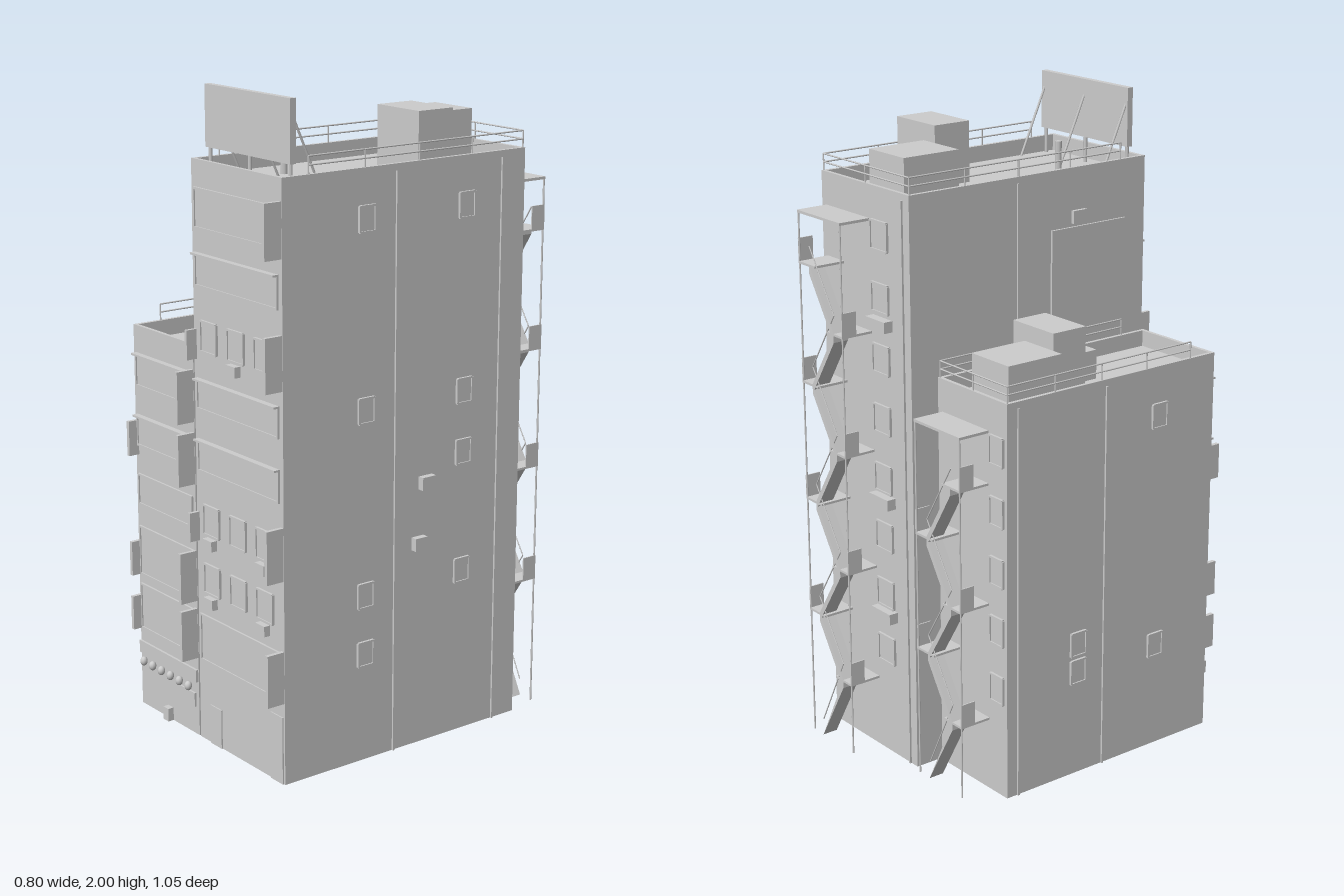
import * as THREE from 'three';

const concrete = new THREE.MeshStandardMaterial({ color: 0xcccccc, side: THREE.DoubleSide });
concrete.name = 'concrete grey';

// Box given by its minimum and maximum corners
function box(parent, name, x0, x1, y0, y1, z0, z1) {
  const m = new THREE.Mesh(new THREE.BoxGeometry(x1 - x0, y1 - y0, z1 - z0), concrete);
  m.position.set((x0 + x1) / 2, (y0 + y1) / 2, (z0 + z1) / 2);
  m.name = name;
  parent.add(m);
  return m;
}

// Round bar between two points
function bar(parent, name, a, b, r = 0.003) {
  const p = new THREE.Vector3(...a), q = new THREE.Vector3(...b);
  const m = new THREE.Mesh(new THREE.CylinderGeometry(r, r, p.distanceTo(q), 6), concrete);
  m.position.copy(p).lerp(q, 0.5);
  m.quaternion.setFromUnitVectors(new THREE.Vector3(0, 1, 0), q.sub(p).normalize());
  m.name = name;
  parent.add(m);
}

// Hollow shell, open below, with a sunken roof inside the parapet
function shell(parent, x0, x1, z0, z1, top) {
  const t = 0.012;
  box(parent, 'frontWall', x0, x1, 0, top, z1 - t, z1);
  box(parent, 'backWall', x0, x1, 0, top, z0, z0 + t);
  box(parent, 'leftWall', x1 - t, x1, 0, top, z0 + t, z1 - t);
  box(parent, 'rightWall', x0, x0 + t, 0, top, z0 + t, z1 - t);
  box(parent, 'roof', x0 + t, x1 - t, top - 0.06, top - 0.05, z0 + t, z1 - t);
}

// Two-bar railing along the sides and back of the roof
function railing(parent, x0, x1, z0, z1, y) {
  const path = [[x0, z1], [x0, z0], [x1, z0], [x1, z1]];
  for (let i = 0; i < 3; i++) {
    const [a, b] = path[i], [c, d] = path[i + 1];
    for (const h of [0.025, 0.05]) bar(parent, 'roofRail', [a, y + h, b], [c, y + h, d], 0.0025);
    const n = i === 1 ? 2 : 4;
    for (let k = 0; k <= n; k++) {
      const x = a + (c - a) * k / n, z = b + (d - b) * k / n;
      bar(parent, 'railPost', [x, y - 0.03, z], [x, y + 0.05, z], 0.0025);
    }
  }
}

// Framed front panel, with an optional thin ledge on top
function panel(parent, x0, x1, y0, y1, ledge) {
  const z = 0.47, w = 0.006;
  box(parent, 'frontPanel', x0, x1, y0, y1, z, z + 0.003);
  box(parent, 'panelFrame', x0, x1, y0, y0 + w, z, z + 0.007);
  box(parent, 'panelFrame', x0, x1, y1 - w, y1, z, z + (ledge ? 0.02 : 0.007));
  box(parent, 'panelFrame', x0, x0 + w, y0, y1, z, z + 0.007);
  box(parent, 'panelFrame', x1 - w, x1, y0, y1, z, z + 0.007);
}

// Window with a sill on a wall facing along z or x
function window_(parent, axis, side, wall, c, y, w, h) {
  const g = new THREE.Group();
  g.name = 'window';
  box(g, 'pane', -w / 2, w / 2, -h / 2, h / 2, 0, 0.004);
  for (const s of [-1, 1]) {
    box(g, 'windowFrame', s * w / 2 - 0.003, s * w / 2 + 0.003, -h / 2, h / 2, 0, 0.008);
    box(g, 'windowFrame', -w / 2, w / 2, s * h / 2 - 0.003, s * h / 2 + 0.003, 0, 0.008);
  }
  if (axis === 'z') {
    g.position.set(c, y, wall);
    g.rotation.y = side > 0 ? 0 : Math.PI;
  } else {
    g.position.set(wall, y, c);
    g.rotation.y = side * Math.PI / 2;
  }
  parent.add(g);
}

// Zigzag back stair with alternating landings, guards, poles and canopy
function fireEscape(parent, x0, x1, wall, levels, top) {
  const g = new THREE.Group();
  g.name = 'fireEscape';
  const out = wall - 0.105, inn = wall - 0.055;
  box(g, 'canopy', x0, x1, top - 0.008, top, out, wall);
  for (const x of [x0 + 0.003, x1 - 0.003]) bar(g, 'pole', [x, 0, out + 0.003], [x, top, out + 0.003], 0.003);
  const xa = x1 - 0.055, xb = x0 + 0.045;
  let prev = 0;
  levels.forEach((y, i) => {
    const right = i % 2 === 0;
    const from = right ? xa : xb, to = right ? xb : xa;
    const l0 = right ? x0 : x1 - 0.085, l1 = right ? x0 + 0.085 : x1;
    box(g, 'landing', l0, l1, y - 0.007, y, out, wall);
    const e = right ? x0 : x1 - 0.004;
    box(g, 'landingGuard', e, e + 0.004, y, y + 0.07, out, inn);
    // Sloped flight with a vertical-sided section
    const s = new THREE.Shape([[from, prev], [to, y], [to, y - 0.028], [from, prev - (i ? 0.028 : 0)]]
      .map(p => new THREE.Vector2(...p)));
    const m = new THREE.Mesh(new THREE.ExtrudeGeometry(s, { depth: inn - out, bevelEnabled: false }), concrete);
    m.position.z = out;
    m.name = 'stairFlight';
    g.add(m);
    bar(g, 'handrail', [from, prev + 0.055, out + 0.003], [to, y + 0.055, out + 0.003], 0.002);
    prev = y;
  });
  parent.add(g);
}

function tallTower() {
  const g = new THREE.Group();
  g.name = 'tallBuilding';
  shell(g, -0.06, 0.377, -0.42, 0.47, 1.79);
  railing(g, -0.055, 0.372, -0.415, 0.375, 1.79);

  // Front
  for (const [a, b, l] of [[0.26, 0.41, 0], [0.86, 0.96, 1], [1.05, 1.145, 1], [1.42, 1.52, 1], [1.59, 1.71, 0]])
    panel(g, -0.045, 0.36, a, b, l);
  for (const y of [0.53, 0.715, 1.275])
    for (const x of [0.02, 0.155, 0.287]) window_(g, 'z', 1, 0.47, x, y, 0.078, 0.09);
  for (const [x, y] of [[0.018, 0.46], [0.283, 0.46], [0.018, 0.645], [0.283, 0.645], [0.15, 1.205]])
    box(g, 'airConditioner', x - 0.023, x + 0.023, y - 0.016, y + 0.016, 0.47, 0.49);
  for (const y of [0.255, 0.63, 1.19, 1.565]) box(g, 'bladeSign', 0.362, 0.375, y, y + 0.16, 0.47, 0.528);
  for (const y of [0.64, 1.2]) box(g, 'smallBladeSign', -0.058, -0.047, y, y + 0.09, 0.47, 0.505);
  box(g, 'door', 0, 0.057, 0, 0.125, 0.465, 0.474);
  box(g, 'shutter', 0.31, 0.37, 0, 0.21, 0.465, 0.474);

  // Side wall on the model's left
  for (const [z, ys] of [[0.175, [0.34, 0.523, 1.087, 1.645]], [-0.195, [0.523, 0.898, 1.087, 1.645]]])
    for (const y of ys) window_(g, 'x', 1, 0.377, z, y, 0.056, 0.074);
  box(g, 'airConditioner', 0.377, 0.398, 0.81, 0.85, -0.075, -0.025);
  box(g, 'airConditioner', 0.377, 0.398, 0.625, 0.665, -0.045, 0);
  for (const z of [0.067, -0.33]) box(g, 'drainPipe', 0.377, 0.383, 0, 1.77, z - 0.003, z + 0.003);

  // Side wall above the neighbouring roof
  box(g, 'wallPoster', -0.067, -0.06, 1.33, 1.61, 0.1, 0.39);
  box(g, 'airConditioner', -0.072, -0.06, 1.62, 1.66, 0.18, 0.23);
  box(g, 'drainPipe', -0.066, -0.06, 0, 1.77, -0.03, -0.024);

  // Back
  for (let i = 0; i < 8; i++) window_(g, 'z', -1, -0.42, 0.085, 0.345 + i * 0.186, 0.08, 0.085);
  for (const y of [0.45, 0.82, 1.37]) box(g, 'airConditioner', 0.03, 0.125, y, y + 0.034, -0.45, -0.42);
  fireEscape(g, 0.135, 0.355, -0.42, [0.235, 0.42, 0.605, 0.79, 0.98, 1.165, 1.35, 1.535], 1.69);
  box(g, 'drainPipe', -0.03, -0.024, 0, 1.77, -0.426, -0.42);

  // Roof
  box(g, 'stairHouse', -0.005, 0.165, 1.735, 1.885, -0.395, -0.2);
  box(g, 'waterTank', 0.157, 0.345, 1.735, 1.925, -0.165, -0.038);
  bar(g, 'ventPipe', [0.082, 1.735, 0.245], [0.082, 1.84, 0.245], 0.011);
  box(g, 'billboard', -0.045, 0.363, 1.82, 2, 0.41, 0.43);
  for (const x of [-0.034, 0.16, 0.351]) {
    bar(g, 'billboardStrut', [x, 1.95, 0.412], [x, 1.735, 0.315], 0.004);
    bar(g, 'billboardPost', [x, 1.735, 0.42], [x, 1.83, 0.42], 0.006);
  }
  return g;
}

function lowTower() {
  const g = new THREE.Group();
  g.name = 'lowBuilding';
  shell(g, -0.39, -0.067, -0.33, 0.47, 1.24);
  railing(g, -0.385, -0.072, -0.325, 0.375, 1.24);

  // Front
  for (const [a, b, l] of [[0.26, 0.41, 0], [0.44, 0.6, 0], [0.67, 0.77, 0], [0.86, 0.96, 1], [1.05, 1.155, 1]])
    panel(g, -0.377, -0.08, a, b, l);
  for (const y of [0.255, 0.44, 0.81, 1.003]) box(g, 'bladeSign', -0.08, -0.068, y, y + 0.16, 0.47, 0.528);
  for (const y of [0.26, 0.44, 0.83]) box(g, 'smallBladeSign', -0.388, -0.375, y, y + 0.11, 0.47, 0.505);
  box(g, 'shopFascia', -0.388, -0.07, 0.175, 0.215, 0.47, 0.478);
  for (let i = 0; i < 6; i++) {
    const lamp = new THREE.Mesh(new THREE.SphereGeometry(0.012, 10, 8), concrete);
    lamp.scale.y = 1.25;
    lamp.position.set(-0.354 + i * 0.05, 0.156, 0.485);
    lamp.name = 'lantern';
    g.add(lamp);
  }
  box(g, 'shopBoard', -0.195, -0.083, 0.09, 0.135, 0.47, 0.476);
  box(g, 'shopStand', -0.24, -0.212, 0, 0.042, 0.47, 0.49);

  // Side wall on the model's right
  for (const [z, y] of [[0.25, 1.087], [0.25, 0.34], [-0.06, 0.34], [-0.06, 0.43]])
    window_(g, 'x', -1, -0.39, z, y, 0.056, 0.074);
  for (const z of [0.04, -0.29]) box(g, 'drainPipe', -0.396, -0.39, 0, 1.22, z - 0.003, z + 0.003);

  // Back
  for (let i = 0; i < 5; i++) window_(g, 'z', -1, -0.33, -0.345, 0.345 + i * 0.186, 0.06, 0.085);
  fireEscape(g, -0.305, -0.088, -0.33, [0.235, 0.42, 0.605, 0.79, 0.98], 1.14);

  // Roof
  box(g, 'stairHouse', -0.365, -0.197, 1.185, 1.34, -0.305, -0.11);
  box(g, 'waterTank', -0.285, -0.1, 1.185, 1.375, -0.075, 0.048);
  box(g, 'ventUnit', -0.245, -0.14, 1.185, 1.28, 0.048, 0.125);
  return g;
}

export function createModel() {
  const model = new THREE.Group();
  model.name = 'pairOfCityBuildings';
  model.add(tallTower(), lowTower());
  return model;
}
